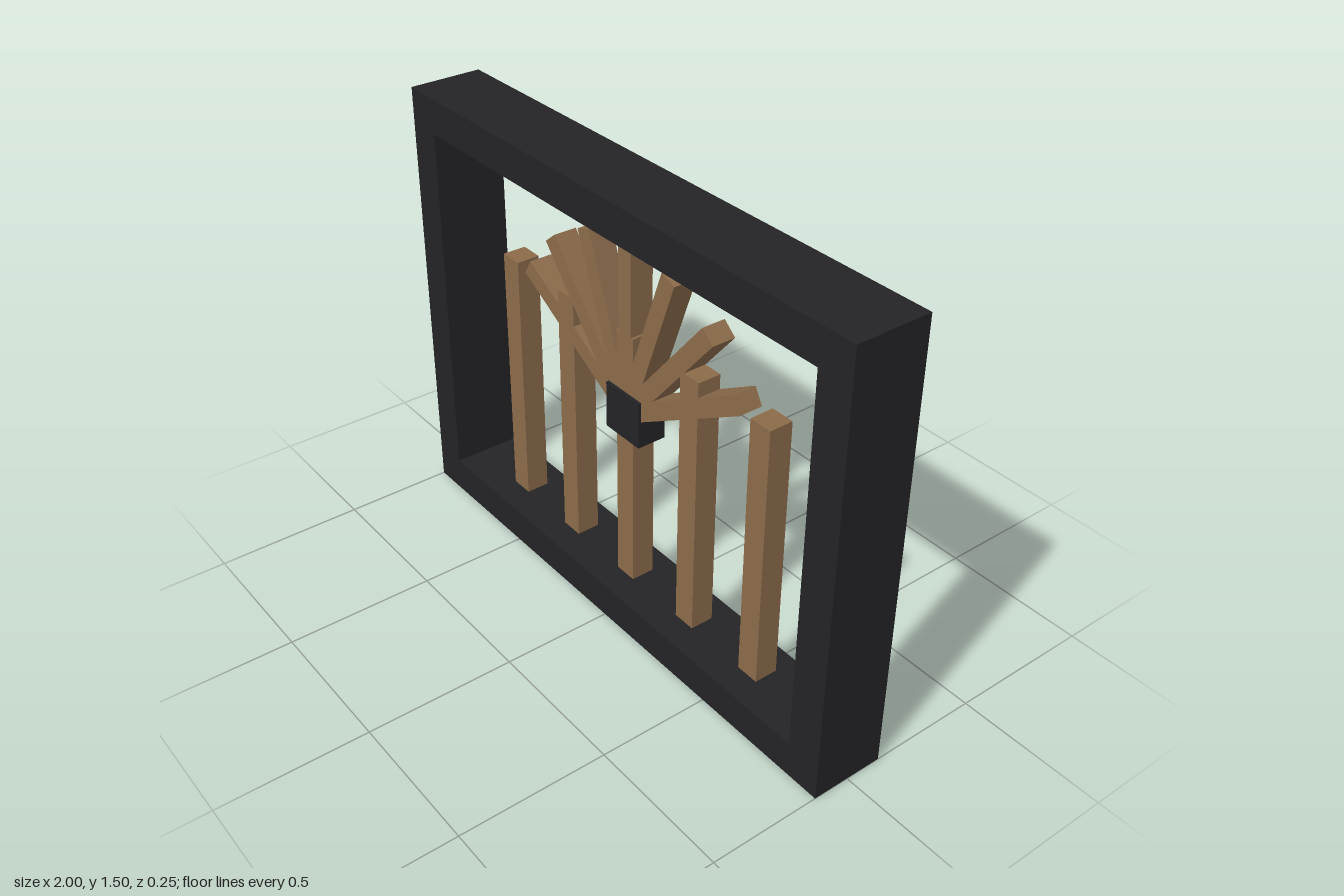
import * as THREE from 'three';

export function createModel() {
  const model = new THREE.Group();
  const black = new THREE.MeshStandardMaterial({ color: 0x242426, flatShading: true });
  const wood = new THREE.MeshStandardMaterial({ color: 0x8b6b4a, flatShading: true });

  const add = (name, geometry, material, x, y) => {
    const mesh = new THREE.Mesh(geometry, material);
    mesh.name = name;
    mesh.position.set(x, y, 0);
    model.add(mesh);
    return mesh;
  };

  // Rectangular frame with an open middle
  const W = 1, H = 1.5, D = 0.25, T = 0.12;
  const outline = new THREE.Shape([
    new THREE.Vector2(-W, 0), new THREE.Vector2(W, 0),
    new THREE.Vector2(W, H), new THREE.Vector2(-W, H),
  ]);
  outline.holes.push(new THREE.Path([
    new THREE.Vector2(-W + T, T), new THREE.Vector2(-W + T, H - T),
    new THREE.Vector2(W - T, H - T), new THREE.Vector2(W - T, T),
  ]));
  const frame = new THREE.ExtrudeGeometry(outline, { depth: D, bevelEnabled: false });
  frame.translate(0, 0, -D / 2);
  add('frame', frame, black, 0, 0);

  // Five upright posts
  const post = new THREE.BoxGeometry(0.08, 0.9, 0.08);
  for (let i = -2; i <= 2; i++) add('post', post, wood, i * 0.3, 0.58);

  // Seven rays fanning out of the hub, pivoting at their lower end
  const hubY = 0.75, rayLength = 0.58;
  const ray = new THREE.BoxGeometry(0.06, rayLength, 0.08);
  ray.translate(0, rayLength / 2, 0);
  for (let i = -3; i <= 3; i++) {
    add('ray', ray, wood, 0, hubY).rotation.z = THREE.MathUtils.degToRad(-20 * i);
  }

  // Square hub covering the root of the fan
  add('hub', new THREE.BoxGeometry(0.16, 0.16, 0.1), black, 0, hubY);

  return model;
}
